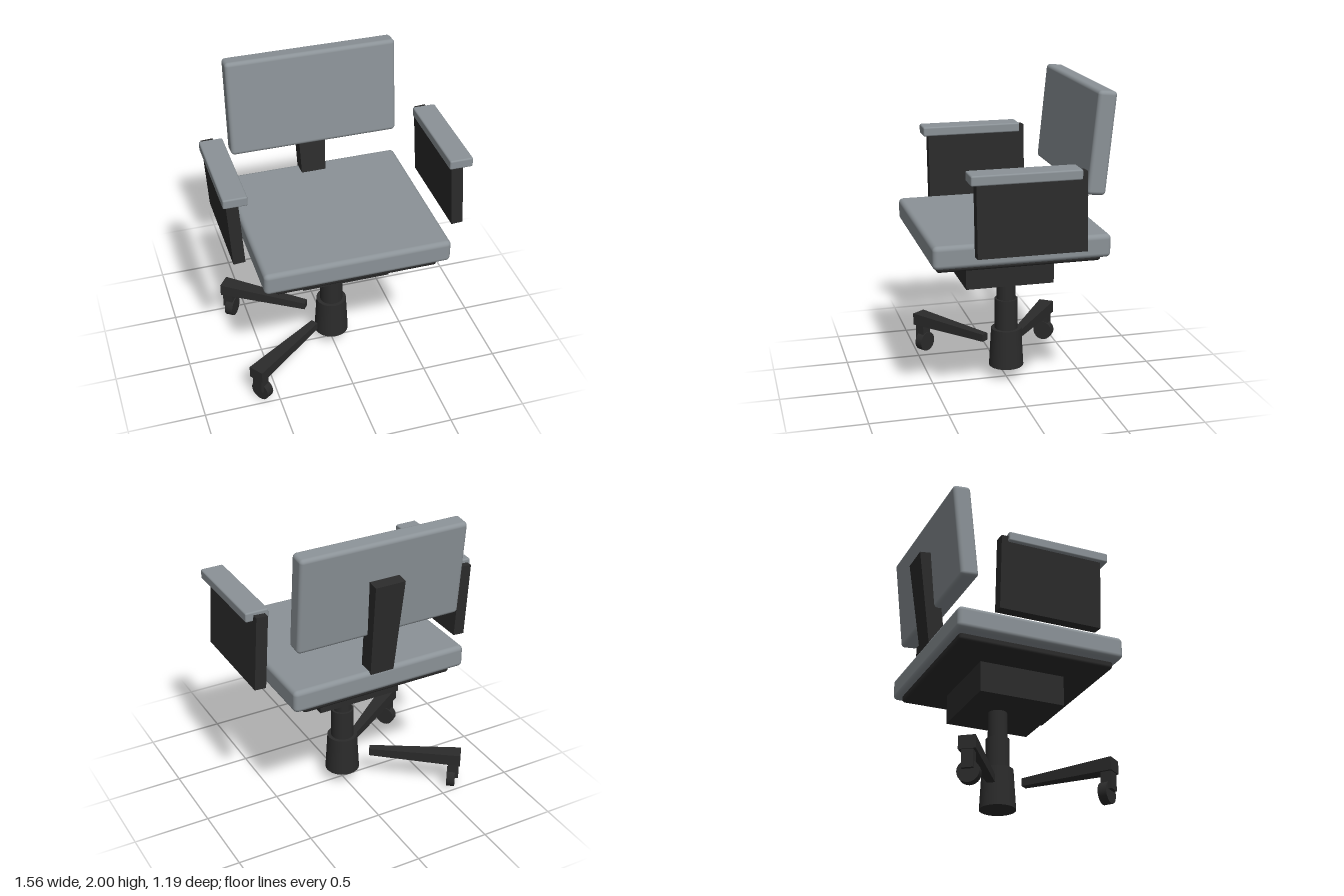
import * as THREE from 'three';
import { RoundedBoxGeometry } from 'three/addons/geometries/RoundedBoxGeometry.js';

// Box along y whose width and depth run from bottom to top sizes
function taperedBox(w0, d0, w1, d1, h) {
  const g = new THREE.BoxGeometry(1, h, 1);
  const p = g.attributes.position;
  for (let i = 0; i < p.count; i++) {
    const top = p.getY(i) > 0;
    p.setX(i, p.getX(i) * (top ? w1 : w0));
    p.setZ(i, p.getZ(i) * (top ? d1 : d0));
  }
  g.computeVertexNormals();
  return g;
}

export function createModel() {
  const model = new THREE.Group();
  model.name = 'officeChair';

  const fabric = new THREE.MeshStandardMaterial({ color: 0x8b9297 });
  fabric.name = 'greyFabric';
  const plastic = new THREE.MeshStandardMaterial({ color: 0x2b2b2b });
  plastic.name = 'blackPlastic';

  const add = (name, geometry, material, x, y, z, parent = model) => {
    const mesh = new THREE.Mesh(geometry, material);
    mesh.name = name;
    mesh.position.set(x, y, z);
    parent.add(mesh);
    return mesh;
  };

  // Seat, its plate and the tilt mechanism
  add('seat', new RoundedBoxGeometry(1.19, 0.147, 1.11, 4, 0.03), fabric, 0, 1.05, 0.045);
  add('seatPlate', new RoundedBoxGeometry(1.035, 0.06, 1.035, 3, 0.02), plastic, 0, 0.965, 0.047);
  add('mechanism', new THREE.BoxGeometry(0.57, 0.21, 0.57), plastic, 0, 0.84, 0.047);

  // Backrest and its support, both leaning back
  const back = add('backrest', new RoundedBoxGeometry(1.11, 0.637, 0.118, 4, 0.025), fabric, 0, 1.679, -0.452);
  back.rotation.x = -0.1;
  const support = add('backSupport', taperedBox(0.16, 0.11, 0.2, 0.11, 0.67), plastic, 0, 1.41, -0.493);
  support.rotation.x = -0.13;

  // Armrests: level pads on slightly leaning panels
  for (const side of [-1, 1]) {
    const arm = new THREE.Group();
    arm.name = side > 0 ? 'leftArmrest' : 'rightArmrest';
    model.add(arm);
    add('armPad', new RoundedBoxGeometry(0.15, 0.062, 0.67, 2, 0.01), fabric, side * 0.705, 1.556, 0.075, arm);
    const panel = add('armPanel', new THREE.BoxGeometry(0.075, 0.485, 0.67), plastic, side * 0.707, 1.322, 0.033, arm);
    panel.rotation.z = 0.06;
  }

  // Telescopic column: radius top, radius bottom, y from, y to
  const stages = [
    ['columnSleeve', 0.1, 0.115, 0.09, 0.35],
    ['columnMiddle', 0.076, 0.076, 0.35, 0.555],
    ['columnPiston', 0.062, 0.062, 0.55, 0.75],
  ];
  for (const [name, rt, rb, y0, y1] of stages) {
    add(name, new THREE.CylinderGeometry(rt, rb, y1 - y0, 32), plastic, 0, (y0 + y1) / 2, 0);
  }

  // Two splayed legs, each with a caster at the outer end
  for (const side of [-1, 1]) {
    const leg = new THREE.Group();
    leg.name = side > 0 ? 'frontLeg' : 'rearLeg';
    leg.rotation.y = Math.PI + side * Math.PI / 5;
    model.add(leg);
    const beam = taperedBox(0.05, 0.05, 0.082, 0.104, 0.615).rotateZ(-Math.PI / 2);
    add('legBeam', beam, plastic, 0.4925, 0.23, 0, leg);
    add('casterStem', new THREE.BoxGeometry(0.07, 0.12, 0.07), plastic, 0.757, 0.14, 0, leg);
    const wheel = new THREE.CylinderGeometry(0.067, 0.067, 0.055, 24).rotateZ(Math.PI / 2);
    add('casterWheel', wheel, plastic, 0.742, 0.067, 0, leg);
  }

  return model;
}
